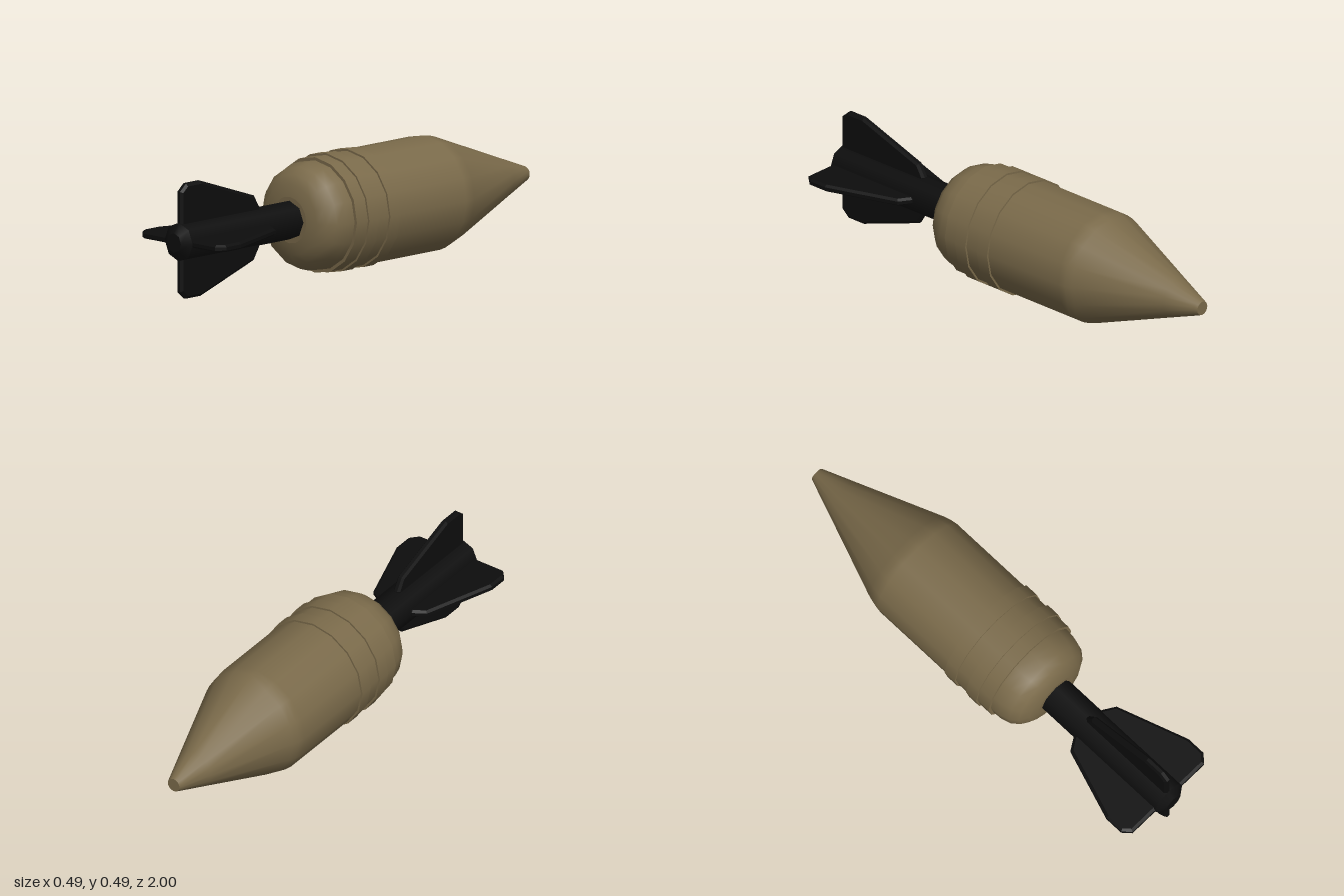
import * as THREE from 'three';

const AXIS_Y = 0.245;

export function createModel() {
  const root = new THREE.Group();
  root.name = 'mortarShell';

  const olive = new THREE.MeshStandardMaterial({ color: 0x7a6a4a });
  olive.name = 'olive drab';
  const black = new THREE.MeshStandardMaterial({ color: 0x0d0d0d });
  black.name = 'black';

  // Turned section along z: profile is a list of [radius, z], z rising
  function turned(name, profile, sides, material, parent) {
    const points = profile.map(([r, z]) => new THREE.Vector2(r, z));
    const geometry = new THREE.LatheGeometry(points, sides);
    geometry.rotateX(Math.PI / 2);
    const mesh = new THREE.Mesh(geometry, material);
    mesh.name = name;
    parent.add(mesh);
    return mesh;
  }

  // Everything is built around z, then lifted so the bands touch the ground
  const shell = new THREE.Group();
  shell.name = 'shell';
  shell.position.y = AXIS_Y;
  root.add(shell);

  // Fuze tip, nose cone and main body; separate sections keep hard seams
  turned('fuzeFace', [[0, -1], [0.029, -1]], 16, olive, shell);
  turned('fuze', [[0.029, -1], [0.035, -0.985], [0.082, -0.86]], 16, olive, shell);
  turned('body', [
    [0.082, -0.86], [0.222, -0.49], [0.231, -0.46], [0.236, -0.43], [0.236, 0.195],
  ], 16, olive, shell);
  turned('bodyStep', [[0.236, 0.195], [0.223, 0.195]], 16, olive, shell);
  turned('roundedBase', [
    [0.223, 0.195], [0.221, 0.235], [0.208, 0.28], [0.182, 0.312], [0.145, 0.333], [0.095, 0.341],
  ], 16, olive, shell);
  turned('baseFace', [[0.095, 0.341], [0, 0.341]], 16, olive, shell);

  // Two raised driving bands
  for (const z of [-0.045, 0.075]) {
    const band = new THREE.Group();
    band.name = 'drivingBand';
    shell.add(band);
    const end = z + 0.057;
    turned('bandFront', [[0.23, z], [0.244, z]], 16, olive, band);
    turned('bandRim', [[0.244, z], [0.244, end]], 16, olive, band);
    turned('bandBack', [[0.244, end], [0.23, end]], 16, olive, band);
  }

  // Octagonal tail boom with a bevelled end
  turned('tailBoom', [[0.079, 0.33], [0.079, 0.972]], 8, black, shell);
  turned('tailBevel', [[0.079, 0.972], [0.04, 1]], 8, black, shell);
  turned('tailFace', [[0.04, 1], [0, 1]], 8, black, shell);

  // Four fins with chamfered edges; shape x is radius, shape y is z
  const outline = [
    [0.03, 0.52], [0.08, 0.52], [0.132, 0.552], [0.235, 0.855],
    [0.235, 0.938], [0.205, 0.972], [0.03, 0.972],
  ];
  const finShape = new THREE.Shape(outline.map(([r, z]) => new THREE.Vector2(r, z)));
  const finGeometry = new THREE.ExtrudeGeometry(finShape, {
    depth: 0.014,
    bevelEnabled: true,
    bevelThickness: 0.008,
    bevelSize: 0.011,
    bevelOffset: -0.011,
    bevelSegments: 1,
  });
  finGeometry.translate(0, 0, -0.007);
  finGeometry.rotateX(Math.PI / 2);
  for (let i = 0; i < 4; i++) {
    const fin = new THREE.Mesh(finGeometry, black);
    fin.name = 'tailFin';
    fin.rotation.z = (i * Math.PI) / 2;
    shell.add(fin);
  }

  return root;
}
